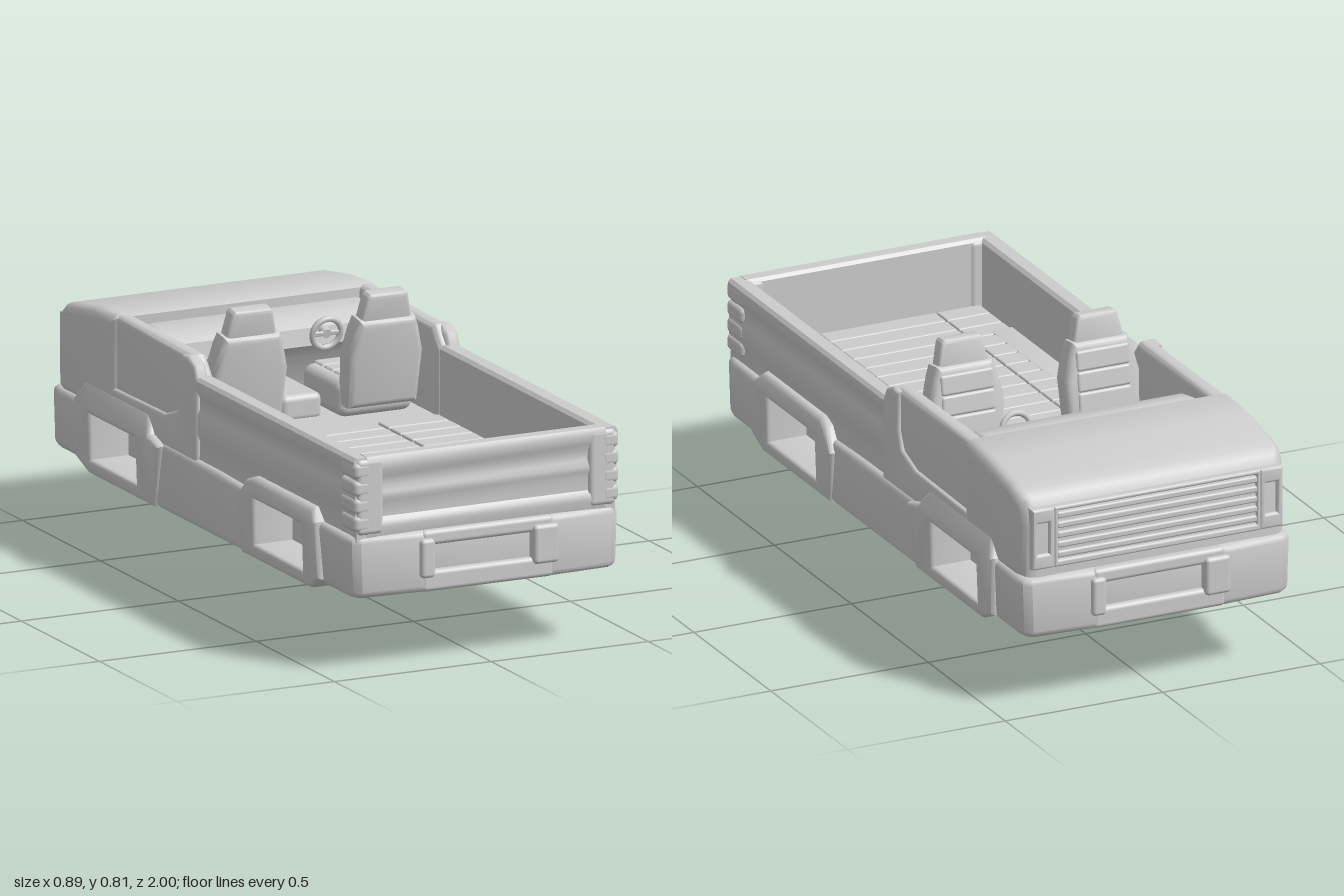
import * as THREE from 'three';
import { toCreasedNormals } from 'three/addons/utils/BufferGeometryUtils.js';
import { RoundedBoxGeometry } from 'three/addons/geometries/RoundedBoxGeometry.js';

const paint = new THREE.MeshStandardMaterial({ color: 0xcccccc });
paint.name = 'light grey';

// Extrude an outline from a to b along an axis, with rounded edges kept inside the outline.
// Outline axes: 'x' -> (z, y), 'y' -> (x, z), 'z' -> (x, y)
function slab(axis, points, a, b, bevel = 0.012, hole = null) {
  const toVec = (p) => new THREE.Vector2(p[0], p[1]);
  const shape = new THREE.Shape(points.map(toVec));
  if (hole) shape.holes.push(new THREE.Path(hole.map(toVec)));
  const depth = b - a;
  const g = new THREE.ExtrudeGeometry(shape, {
    depth: depth - 2 * bevel, bevelEnabled: bevel > 0, bevelSize: bevel,
    bevelThickness: bevel, bevelOffset: -bevel, bevelSegments: 3,
  });
  g.translate(0, 0, bevel - depth / 2);
  if (axis === 'x') g.rotateY(-Math.PI / 2);
  if (axis === 'y') g.rotateX(Math.PI / 2);
  const mid = (a + b) / 2;
  g.translate(axis === 'x' ? mid : 0, axis === 'y' ? mid : 0, axis === 'z' ? mid : 0);
  return toCreasedNormals(g, 0.6);
}

// Narrow a geometry in x by a factor that depends on y and z
function narrow(g, factor) {
  const p = g.attributes.position;
  for (let i = 0; i < p.count; i++) p.setX(i, p.getX(i) * factor(p.getY(i), p.getZ(i)));
  return toCreasedNormals(g, 0.6);
}

function add(parent, name, geometry, x = 0, y = 0, z = 0) {
  const m = new THREE.Mesh(geometry, paint);
  m.name = name;
  m.position.set(x, y, z);
  parent.add(m);
  return m;
}

const rbox = (w, h, d, r) => new RoundedBoxGeometry(w, h, d, 3, r);
const rect = (x0, y0, x1, y1) => [[x0, y0], [x1, y0], [x1, y1], [x0, y1]];
const mirrorX = (pts) => pts.map(([x, y]) => [-x, y]).reverse();
const flareTuck = (y) => 1 - 0.9 * Math.max(0, y - 0.4) - 0.3 * Math.max(0, 0.28 - y);

function buildSide(car, side) {
  const span = (a, b) => (side > 0 ? [a, b] : [-b, -a]);
  const flip = (pts) => (side > 0 ? pts : mirrorX(pts));

  // lower side: sill and raised flares around the recessed wheel openings
  add(car, 'sill', slab('x', [[0.32, 0.2], [0.32, 0.39], [0.1, 0.397], [-0.36, 0.4], [-0.36, 0.2]],
    ...span(0.29, 0.43), 0.02));
  add(car, 'rearWheelFlare', narrow(slab('x',
    [[0.78, 0.24], [0.71, 0.2], [0.27, 0.2], [0.25, 0.36], [0.3, 0.425], [0.34, 0.44], [0.72, 0.44], [0.76, 0.405]],
    ...span(0.3, 0.446), 0.014, rect(0.36, 0.245, 0.67, 0.38)), flareTuck));
  add(car, 'frontWheelFlare', narrow(slab('x',
    [[-0.28, 0.2], [-0.71, 0.2], [-0.79, 0.235], [-0.79, 0.41], [-0.75, 0.47], [-0.35, 0.47], [-0.31, 0.41], [-0.24, 0.39]],
    ...span(0.3, 0.446), 0.014, rect(-0.69, 0.245, -0.395, 0.38)), flareTuck));

  // bed wall with body lines
  add(car, 'bedWall', slab('z', flip([[0.362, 0.39], [0.412, 0.39], [0.41, 0.45], [0.417, 0.47], [0.417, 0.53],
    [0.41, 0.545], [0.411, 0.58], [0.422, 0.602], [0.42, 0.628], [0.411, 0.638], [0.372, 0.638], [0.362, 0.628]]),
  -0.06, 0.965, 0));

  // cab wall with the door panel set in behind a raised surround
  add(car, 'doorPanel', slab('x', [[-0.05, 0.39], [-0.05, 0.63], [-0.1, 0.69], [-0.6, 0.695], [-0.62, 0.39]],
    ...span(0.358, 0.411), 0.018));
  add(car, 'doorSurround', slab('x', [[-0.04, 0.38], [-0.04, 0.63], [-0.06, 0.67], [-0.1, 0.69], [-0.14, 0.685],
    [-0.14, 0.57], [-0.165, 0.515], [-0.25, 0.485], [-0.61, 0.48], [-0.61, 0.38]], ...span(0.38, 0.422), 0.012));

  // ribbed tail lamp
  const lamp = new THREE.Group();
  lamp.name = 'tailLamp';
  car.add(lamp);
  add(lamp, 'lampHousing', rbox(0.085, 0.225, 0.06, 0.015), side * 0.37, 0.522, 0.944);
  for (let i = 0; i < 4; i++) {
    add(lamp, 'lampRib', rbox(0.057, 0.05, 0.1, 0.016), side * 0.394, 0.445 + i * 0.052, 0.925);
  }

  // headlamp in a frame
  const x = side * 0.362;
  add(car, 'headlampFrame', slab('z', rect(x - 0.036, 0.43, x + 0.036, 0.615), -0.97, -0.93, 0.008,
    rect(x - 0.018, 0.475, x + 0.018, 0.57)));
}

// Bumper with a recessed plate bay, built facing +z and turned for the front
function buildBumper(car, name, turn) {
  const bumper = new THREE.Group();
  bumper.name = name;
  bumper.rotation.y = turn;
  car.add(bumper);
  const half = [[0.43, 0.73], [0.43, 0.92], [0.422, 0.955], [0.4, 0.972], [0.22, 0.982]];
  const bay = [[0.19, 0.982], [0.18, 0.965], [-0.18, 0.965], [-0.19, 0.982]];
  const body = slab('y', [...half, ...bay, ...mirrorX(half)], 0.222, 0.405, 0.02);
  add(bumper, 'bumperBody', narrow(body, (y) => 1 - 0.3 * Math.max(0, 0.28 - y)));
  add(bumper, 'upperBar', rbox(0.42, 0.045, 0.06, 0.014), 0, 0.382, 0.954);
  add(bumper, 'lowerBar', rbox(0.42, 0.063, 0.06, 0.014), 0, 0.2545, 0.954);
  add(bumper, 'bayEnd', rbox(0.045, 0.115, 0.06, 0.012), -0.197, 0.325, 0.969);
  add(bumper, 'bayEnd', rbox(0.08, 0.115, 0.06, 0.012), 0.18, 0.325, 0.969);
}

function buildSeat(car, x) {
  const seat = new THREE.Group();
  seat.name = 'seat';
  seat.position.x = x;
  car.add(seat);
  add(seat, 'seatCushion', rbox(0.24, 0.11, 0.25, 0.03), 0, 0.485, -0.275);
  const back = new THREE.Group();
  back.name = 'seatBack';
  back.position.set(0, 0.47, -0.147);
  back.rotation.x = 0.14;
  seat.add(back);
  add(back, 'backrest', slab('z', [[-0.11, 0], [0.11, 0], [0.118, 0.16], [0.1, 0.235], [0.088, 0.268],
    [-0.088, 0.268], [-0.1, 0.235], [-0.118, 0.16]], -0.04, 0.04, 0.02));
  add(back, 'headrest', slab('z', [[-0.082, 0.25], [0.082, 0.25], [0.064, 0.335], [0.056, 0.343],
    [-0.056, 0.343], [-0.064, 0.335]], -0.027, 0.027, 0.012));
  // padded rolls on the backrest and cushion
  for (let i = 0; i < 3; i++) {
    add(back, 'backPad', rbox(0.17, 0.062, 0.02, 0.009), 0, 0.09 + i * 0.062, -0.035);
    add(seat, 'cushionPad', rbox(0.17, 0.02, 0.062, 0.009), 0, 0.536, -0.36 + i * 0.062);
  }
}

export function createModel() {
  const car = new THREE.Group();
  car.name = 'openPickup';

  // underbody, floor and floor slats
  add(car, 'underbody', slab('x', [[0.95, 0.24], [0.95, 0.4], [-0.93, 0.4], [-0.93, 0.24], [-0.75, 0.2], [0.74, 0.2]],
    -0.315, 0.315, 0));
  add(car, 'floor', new THREE.BoxGeometry(0.74, 0.04, 1.88), 0, 0.41, 0.01);
  for (let i = 0; i < 13; i++) {
    const z = -0.02 + i * 0.0755;
    for (const [x, w] of [[-0.29, 0.137], [-0.033, 0.368], [0.26, 0.194]]) {
      add(car, 'floorSlat', rbox(w, 0.016, 0.07, 0.005), x, 0.43, z);
    }
  }

  for (const side of [1, -1]) buildSide(car, side);
  buildBumper(car, 'rearBumper', 0);
  buildBumper(car, 'frontBumper', Math.PI);

  // tailgate with stepped panel
  add(car, 'tailgate', slab('x', [[0.92, 0.4], [0.965, 0.4], [0.972, 0.43], [0.97, 0.446], [0.96, 0.458], [0.96, 0.5],
    [0.966, 0.515], [0.966, 0.53], [0.959, 0.548], [0.96, 0.575], [0.971, 0.597], [0.973, 0.625], [0.965, 0.64],
    [0.928, 0.64], [0.92, 0.63]], -0.38, 0.38, 0));

  // hood, narrowing toward the front corners, and grille
  const hood = slab('x', [[-0.565, 0.39], [-0.565, 0.69], [-0.585, 0.7], [-0.72, 0.69], [-0.86, 0.667],
    [-0.9, 0.655], [-0.93, 0.638], [-0.95, 0.61], [-0.958, 0.56], [-0.958, 0.39], [-0.9, 0.39]], -0.422, 0.422, 0.03);
  add(car, 'hood', narrow(hood, (y, z) => 1 - 0.7 * Math.max(0, -0.9 - z)));
  add(car, 'grilleSurround', slab('z', rect(-0.328, 0.43, 0.328, 0.615), -0.97, -0.94, 0.006,
    rect(-0.315, 0.45, 0.315, 0.602)));
  for (let i = 0; i < 5; i++) {
    add(car, 'grilleSlat', rbox(0.635, 0.02, 0.02, 0.006), 0, 0.466 + i * 0.03, -0.958);
  }

  // cab interior
  add(car, 'dashboard', slab('x', [[-0.555, 0.42], [-0.555, 0.665], [-0.52, 0.676], [-0.45, 0.663], [-0.41, 0.635],
    [-0.4, 0.585], [-0.44, 0.545], [-0.48, 0.42]], -0.345, 0.345, 0.02));
  add(car, 'console', rbox(0.13, 0.08, 0.24, 0.02), 0, 0.46, -0.33);
  for (const x of [-0.222, 0.208]) buildSeat(car, x);

  // steering wheel
  const wheel = new THREE.Group();
  wheel.name = 'steeringWheel';
  wheel.position.set(0.165, 0.62, -0.388);
  wheel.rotation.x = 0.2;
  car.add(wheel);
  add(wheel, 'wheelRim', new THREE.TorusGeometry(0.045, 0.009, 8, 28));
  add(wheel, 'wheelSpoke', rbox(0.085, 0.014, 0.01, 0.004));
  add(wheel, 'wheelHub', new THREE.CylinderGeometry(0.014, 0.018, 0.05, 14).rotateX(Math.PI / 2), 0, 0, -0.02);

  // rounded disc hanging under the floor
  const disc = add(car, 'hangingDisc', new THREE.SphereGeometry(0.1, 28, 18), -0.032, 0.1, -0.4);
  disc.scale.x = 0.27;
  add(car, 'discNeck', rbox(0.045, 0.05, 0.06, 0.018), -0.017, 0.186, -0.4);

  return car;
}
